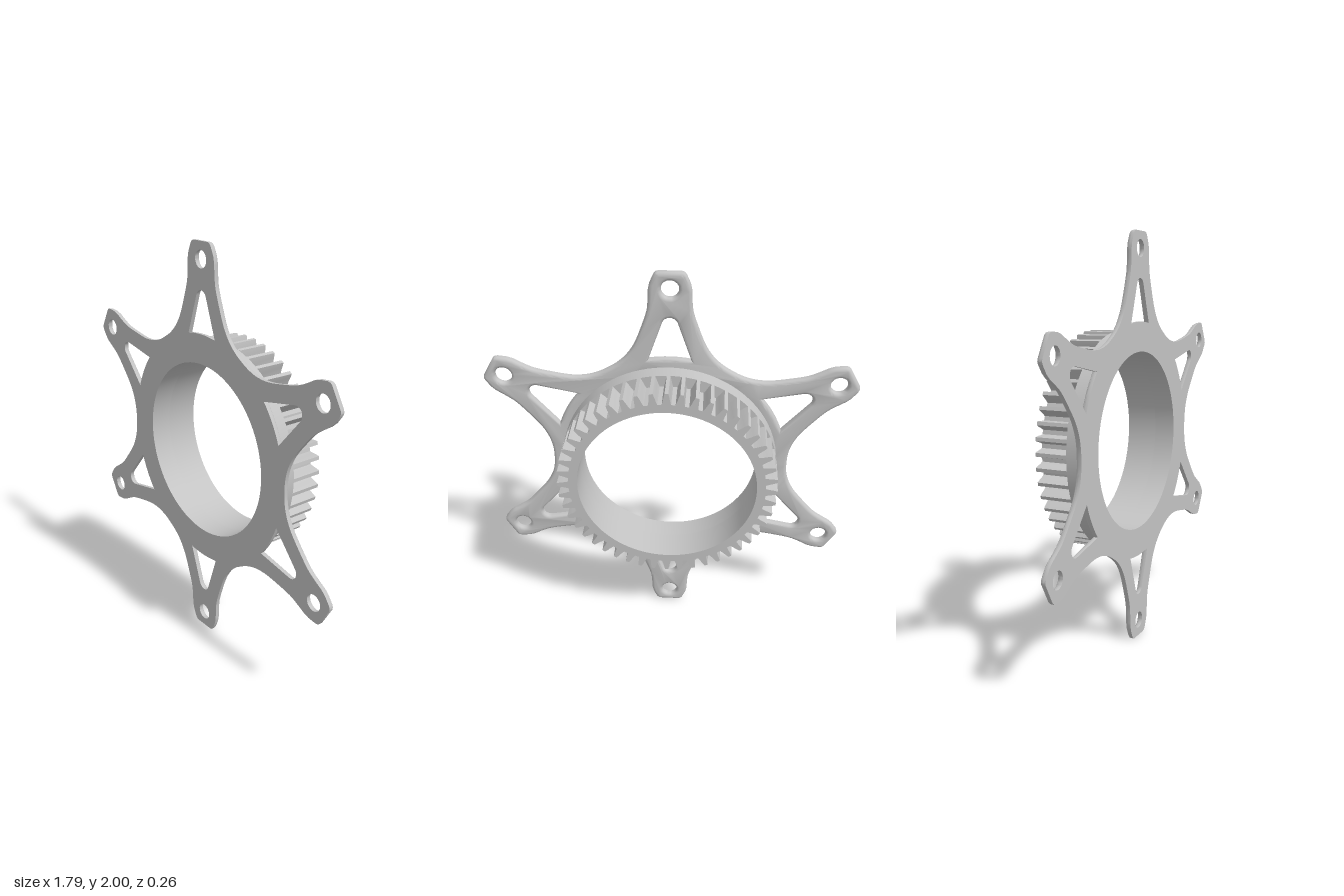
import * as THREE from 'three';
import { toCreasedNormals } from 'three/addons/utils/BufferGeometryUtils.js';

const ARMS = 6, TEETH = 48;
const BORE = 0.435, HUB = 0.535, ROOT = 0.478, SEAT = 0.5;
const FRONT = 0.132, PLATE_BACK = 0.103, TOOTH_FRONT = 0.026, BACK = -0.132;
const BEVEL = 0.016;

// turn a point counter-clockwise by an angle
const turn = (x, y, a) => new THREE.Vector2(
  x * Math.cos(a) - y * Math.sin(a), y * Math.cos(a) + x * Math.sin(a));

// circular hole as an open ring of points
function circlePath(x, y, r, n) {
  const pts = [];
  for (let i = 0; i < n; i++) {
    const a = -i / n * Math.PI * 2;
    pts.push(new THREE.Vector2(x + r * Math.cos(a), y + r * Math.sin(a)));
  }
  return new THREE.Path(pts);
}

// six-armed outline: tip corners plus a smooth valley to the next arm
function plateShape() {
  const step = Math.PI * 2 / ARMS;
  const tip = [[0.052, 1], [0.064, 0.996], [0.074, 0.984], [0.092, 0.943]];
  const flank = [[0.098, 0.915], [0.1, 0.865], [0.106, 0.81], [0.129, 0.737],
    [0.165, 0.645], [0.205, 0.583], [0.25, 0.54]];
  const outline = [];
  for (let i = 0; i < ARMS; i++) {
    const a = i * step;
    const here = (p) => turn(-p[0], p[1], a);
    const next = (p) => turn(p[0], p[1], a + step);
    const valley = new THREE.SplineCurve([
      ...flank.map(here), here([0.295, 0.511]), ...flank.slice().reverse().map(next)]);
    outline.push(...tip.map(here), ...valley.getPoints(48), ...tip.slice().reverse().map(next));
  }
  const shape = new THREE.Shape(outline);
  shape.holes.push(circlePath(0, 0, SEAT, 96));
  for (let i = 0; i < ARMS; i++) {
    const a = i * step;
    // bolt hole
    const c = turn(0, 0.92, a);
    shape.holes.push(circlePath(c.x, c.y, 0.041, 32));
    // triangular window with curved base and rounded apex
    const win = [];
    for (let k = -4; k <= 4; k++) {
      const t = k / 4 * 0.174;
      win.push(turn(0.578 * Math.sin(t), 0.578 * Math.cos(t), a));
    }
    for (let k = 0; k <= 8; k++) {
      const t = 0.33 + k / 8 * (Math.PI - 0.66);
      win.push(turn(0.037 * Math.cos(t), 0.745 + 0.037 * Math.sin(t), a));
    }
    shape.holes.push(new THREE.Path(win));
  }
  return shape;
}

// plate with rounded back edges and a flat, sharp-edged front
function plateGeometry() {
  const depth = FRONT - PLATE_BACK - BEVEL;
  const geo = new THREE.ExtrudeGeometry(plateShape(), {
    depth, steps: 1,
    bevelEnabled: true, bevelThickness: BEVEL, bevelSize: BEVEL, bevelOffset: -BEVEL, bevelSegments: 3
  });
  const pos = geo.attributes.position;
  for (let i = 0; i < pos.count; i++) pos.setZ(i, Math.min(pos.getZ(i), depth));
  geo.translate(0, 0, PLATE_BACK + BEVEL);
  return toCreasedNormals(geo, 0.6);
}

// toothed ring
function gearGeometry() {
  const pitch = Math.PI * 2 / TEETH;
  const tooth = [[-0.34, ROOT], [-0.25, 0.497], [-0.2, 0.515], [-0.12, HUB],
    [0.12, HUB], [0.2, 0.515], [0.25, 0.497], [0.34, ROOT]];
  const pts = [];
  for (let i = 0; i < TEETH; i++) {
    for (const [f, r] of tooth) pts.push(turn(0, r, (i + f) * pitch));
  }
  const shape = new THREE.Shape(pts);
  shape.holes.push(circlePath(0, 0, BORE, 96));
  const geo = new THREE.ExtrudeGeometry(shape, {
    depth: TOOTH_FRONT - BACK, bevelEnabled: false
  });
  geo.translate(0, 0, BACK);
  return toCreasedNormals(geo, 0.4);
}

// plain collar joining the teeth to the plate
function collarGeometry() {
  const profile = [[BORE, TOOTH_FRONT], [HUB, TOOTH_FRONT], [HUB, PLATE_BACK + 0.002],
    [SEAT, PLATE_BACK + 0.002], [SEAT, FRONT], [BORE, FRONT], [BORE, TOOTH_FRONT]];
  const geo = new THREE.LatheGeometry(profile.map(p => new THREE.Vector2(...p)), 96);
  geo.rotateX(Math.PI / 2);
  return toCreasedNormals(geo, 0.5);
}

export function createModel() {
  const steel = new THREE.MeshStandardMaterial({ color: 0xc4c4c4 });
  steel.name = 'steel grey';
  const group = new THREE.Group();
  group.name = 'gearCarrier';
  const add = (name, geo) => {
    const mesh = new THREE.Mesh(geo, steel);
    mesh.name = name;
    mesh.position.y = 1;
    group.add(mesh);
  };
  add('starPlate', plateGeometry());
  add('collar', collarGeometry());
  add('gearRing', gearGeometry());
  return group;
}
